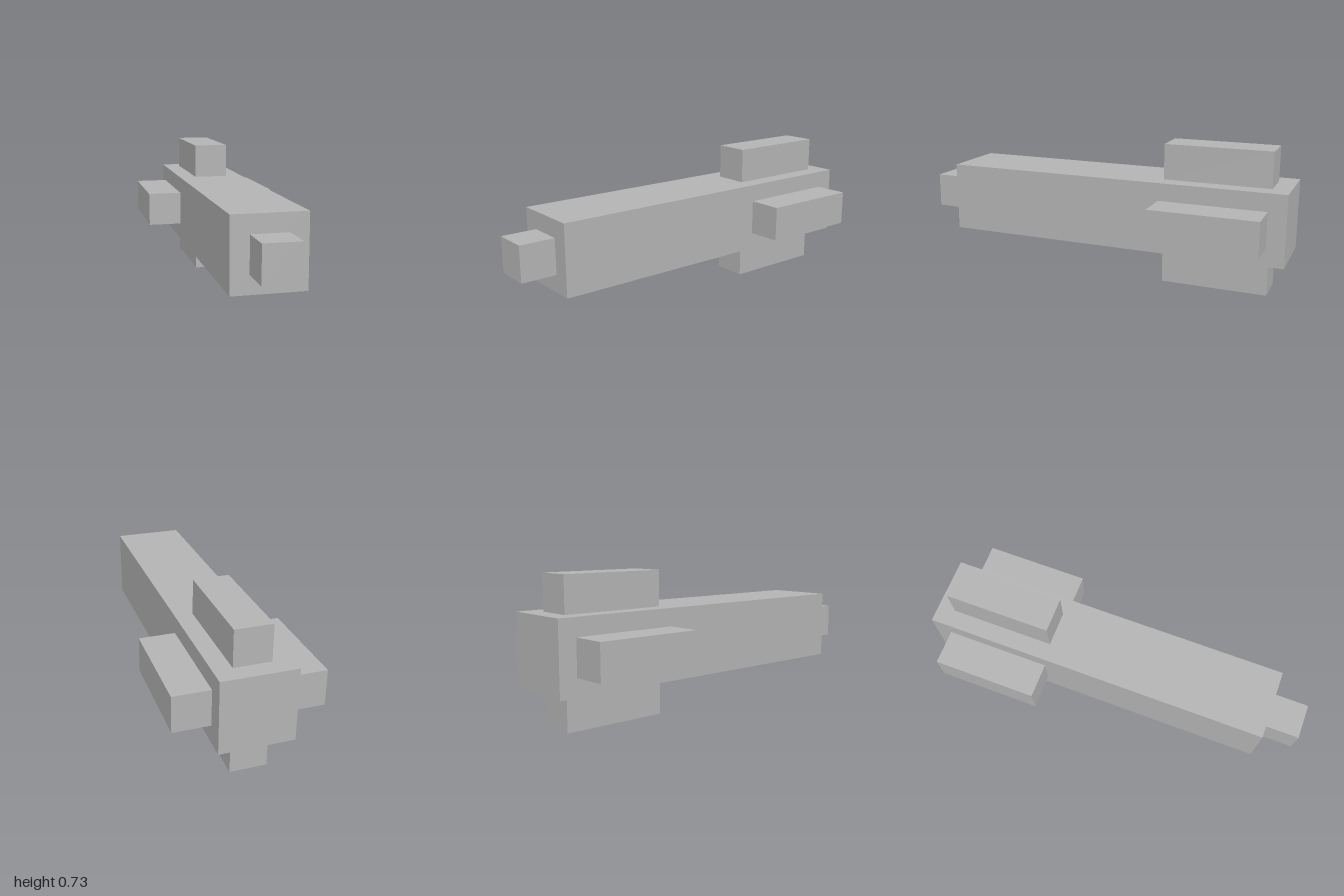
import * as THREE from 'three';

const U = 2 / 22; // the model is laid out on a grid, 22 units long

export function createModel() {
  const model = new THREE.Group();
  const grey = new THREE.MeshStandardMaterial({ color: 0xb3b3b3 });
  grey.name = 'grey';

  // Box given by size and centre in grid units
  const addBox = (name, [w, h, d], [x, y, z]) => {
    const mesh = new THREE.Mesh(new THREE.BoxGeometry(w * U, h * U, d * U), grey);
    mesh.name = name;
    mesh.position.set(x * U, y * U, z * U);
    model.add(mesh);
  };

  // Long square body with a small nose block at the front
  addBox('body', [4, 4, 20], [0, 4, -1]);
  addBox('nose', [2, 2, 2], [0, 4, 10]);

  // Four block fins around the rear of the body
  const fins = { leftFin: [1, 0], topFin: [0, 1], rightFin: [-1, 0], bottomFin: [0, -1] };
  for (const [name, [dx, dy]] of Object.entries(fins)) {
    addBox(name, [2, 2, 6], [3 * dx, 4 + 3 * dy, -7]);
  }

  return model;
}
